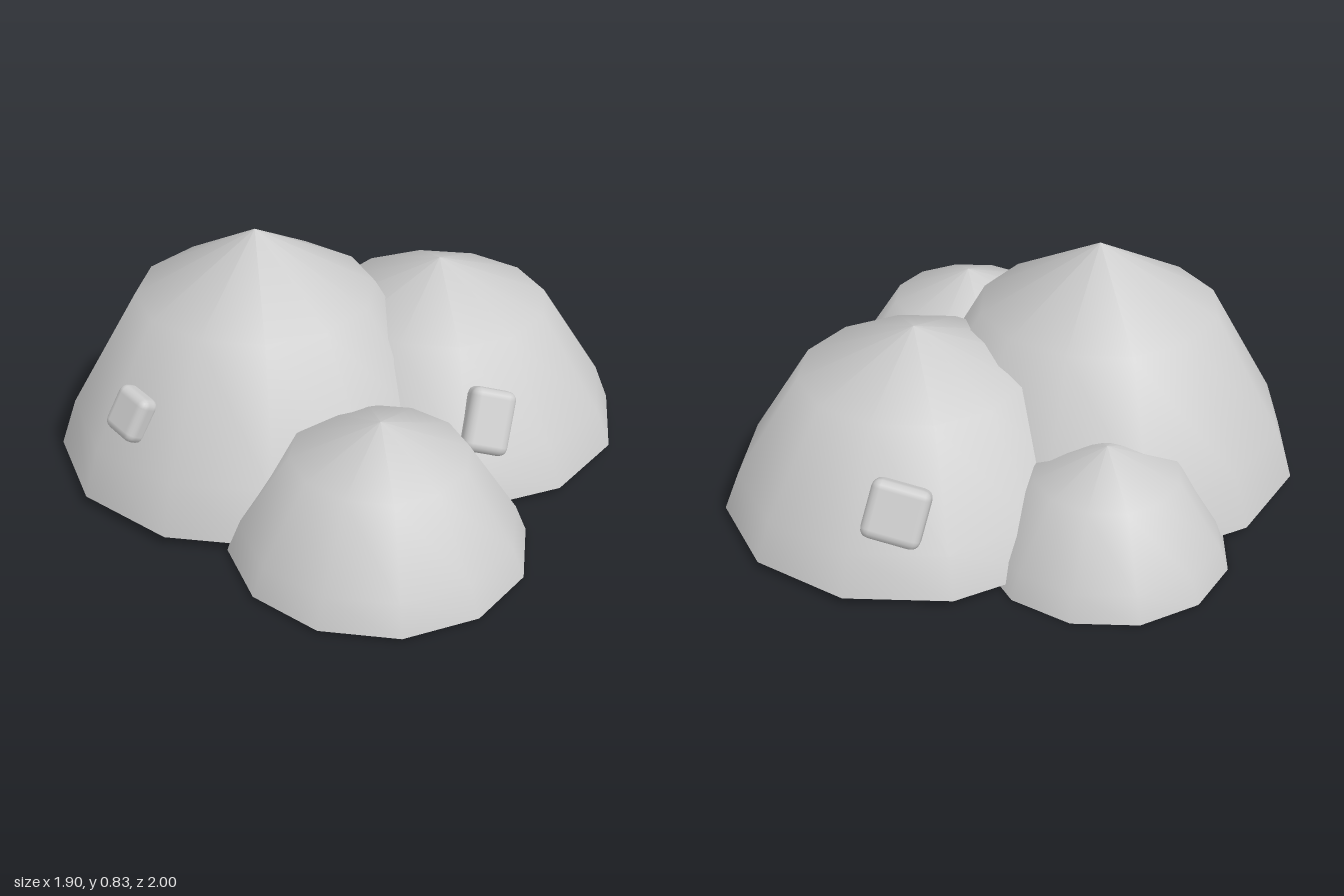
import * as THREE from 'three';
import { RoundedBoxGeometry } from 'three/addons/geometries/RoundedBoxGeometry.js';

const material = new THREE.MeshStandardMaterial({ color: 0xcccccc, side: THREE.DoubleSide });

// Open twelve-sided dome; shoulder is the height fraction of its upper ring
function dome(name, x, y, z, radius, height, shoulder) {
  const profile = [[1, 0], [0.92, 0.21], [0.585, shoulder], [0, 1]]
    .map(([r, h]) => new THREE.Vector2(r * radius, h * height));
  const mesh = new THREE.Mesh(new THREE.LatheGeometry(profile, 12), material);
  mesh.name = name;
  mesh.position.set(x, y, z);
  return mesh;
}

// Flat rounded stone lying on a dome, facing along the outward direction
function pebble(name, position, outward, width, height, depth, roll) {
  const mesh = new THREE.Mesh(new RoundedBoxGeometry(width, height, depth, 2, 0.03), material);
  mesh.name = name;
  mesh.position.set(...position);
  mesh.lookAt(mesh.position.clone().add(new THREE.Vector3(...outward)));
  mesh.rotateZ(roll);
  return mesh;
}

export function createModel() {
  const group = new THREE.Group();
  group.name = 'moundCluster';

  // Four overlapping mounds
  group.add(
    dome('largeMound', -0.24, 0.03, 0.09, 0.71, 0.8, 0.725),
    dome('backMound', 0.28, 0.02, -0.33, 0.668, 0.62, 0.755),
    dome('frontMound', 0.39, 0.01, 0.51, 0.49, 0.45, 0.755),
    dome('smallBackMound', -0.42, 0, -0.47, 0.41, 0.39, 0.755),
  );

  // Stones set into the slopes
  group.add(
    pebble('frontPebble', [-0.445, 0.345, 0.615], [-0.21, 0.3, 0.52], 0.15, 0.16, 0.08, -0.12),
    pebble('sidePebble', [0.61, 0.275, 0.085], [0.33, 0.25, 0.42], 0.16, 0.22, 0.09, -0.3),
    pebble('backPebble', [0.14, 0.28, -0.865], [-0.14, 0.26, -0.53], 0.19, 0.19, 0.09, -0.25),
  );
  return group;
}
